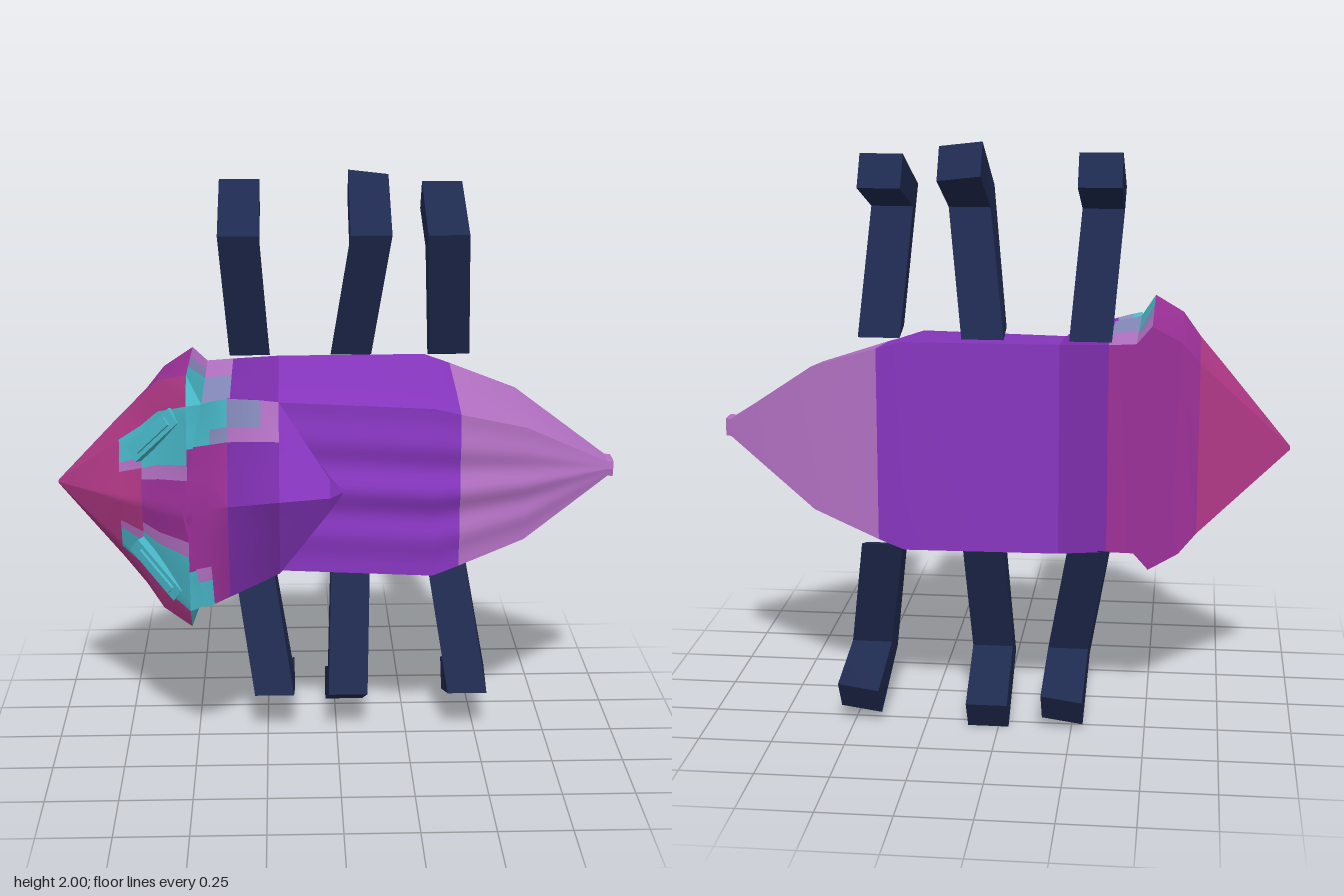
import * as THREE from 'three';
import { toCreasedNormals } from 'three/addons/utils/BufferGeometryUtils.js';

const mat = (name, color) => {
  const m = new THREE.MeshStandardMaterial({ color });
  m.name = name;
  return m;
};
const V = (x, y, z) => new THREE.Vector3(x, y, z);

// Closed skin through rings of equal point count; pick(segment, strip) gives the material.
function loft(name, rings, pick, crease) {
  const byMat = new Map();
  const add = (m, ...p) => {
    if (!byMat.has(m)) byMat.set(m, []);
    byMat.get(m).push(p);
  };
  const n = rings[0].length, last = rings.length - 1;
  for (let i = 0; i < last; i++) {
    for (let j = 0; j < n; j++) {
      const k = (j + 1) % n, m = pick(i, j);
      const a = rings[i][j], b = rings[i][k], c = rings[i + 1][k], d = rings[i + 1][j];
      add(m, a, b, c);
      add(m, a, c, d);
    }
  }
  // End caps
  for (const [r, i, flip] of [[rings[0], 0, true], [rings[last], last - 1, false]]) {
    const mid = r.reduce((s, p) => s.add(p), V(0, 0, 0)).divideScalar(n);
    for (let j = 0; j < n; j++) {
      const p = r[j], q = r[(j + 1) % n];
      if (flip) add(pick(i, 0), mid, q, p);
      else add(pick(i, 0), mid, p, q);
    }
  }
  // Keep faces pointing outward whichever way the rings run
  let volume = 0;
  for (const list of byMat.values()) {
    for (const [a, b, c] of list) volume += a.dot(b.clone().cross(c));
  }
  const pos = [], geo = new THREE.BufferGeometry(), mats = [...byMat.keys()];
  mats.forEach((m, index) => {
    const start = pos.length / 3;
    for (const [a, b, c] of byMat.get(m)) {
      for (const p of volume < 0 ? [a, c, b] : [a, b, c]) pos.push(p.x, p.y, p.z);
    }
    geo.addGroup(start, pos.length / 3 - start, index);
  });
  geo.setAttribute('position', new THREE.Float32BufferAttribute(pos, 3));
  const mesh = new THREE.Mesh(toCreasedNormals(geo, crease), mats);
  mesh.name = name;
  return mesh;
}

export function createModel() {
  const magenta = mat('magenta', 0xb13886), plum = mat('plum', 0x9c3098);
  const darkViolet = mat('dark violet', 0x7c2eac), violet = mat('violet', 0x8836c0);
  const mauve = mat('mauve', 0xb471c4), slate = mat('slate lavender', 0x858abb);
  const cyan = mat('cyan', 0x48b8c8), navy = mat('navy', 0x1f2a50);

  const model = new THREE.Group();
  model.name = 'beetle';

  // Body: x, centre y, belly (half width, z), flank (half width, z), back edge (half width, z), spine z, ripple
  const stations = [
    [-0.97, 0.955, 0.005, -0.055, 0.006, -0.05, 0.005, -0.045, -0.042, 0],
    [-0.74, 0.965, 0.22, -0.13, 0.255, 0.05, 0.19, 0.12, 0.18, 0],
    [-0.66, 0.968, 0.295, -0.155, 0.335, 0.11, 0.25, 0.17, 0.238, 0],
    [-0.60, 0.97, 0.365, -0.175, 0.405, 0.17, 0.31, 0.22, 0.30, 0],
    [-0.50, 0.975, 0.42, -0.205, 0.44, 0.27, 0.355, 0.345, 0.37, 0.004],
    [-0.45, 0.98, 0.36, -0.23, 0.355, 0.10, 0.35, 0.32, 0.345, 0.004],
    [-0.36, 0.985, 0.355, -0.255, 0.35, 0.05, 0.34, 0.235, 0.28, 0.005],
    [-0.20, 0.985, 0.358, -0.28, 0.33, 0, 0.30, 0.14, 0.16, 0.008],
    [0.32, 0.985, 0.358, -0.29, 0.325, 0, 0.295, 0.22, 0.23, 0.012],
    [0.41, 0.985, 0.33, -0.27, 0.30, 0, 0.268, 0.198, 0.21, 0.011],
    [0.64, 0.987, 0.25, -0.215, 0.225, -0.02, 0.20, 0.13, 0.14, 0.008],
    [0.95, 0.99, 0.03, -0.11, 0.028, -0.06, 0.026, -0.025, -0.02, 0],
    [0.97, 0.99, 0.03, -0.10, 0.03, -0.06, 0.028, -0.03, -0.025, 0],
  ];
  // Positions across the back, from one edge to the other
  const half = [1, 0.9, 0.8, 0.7, 0.6, 0.525, 0.45, 0.375, 0.3, 0.225, 0.15, 0.075];
  const ts = [...half, 0, ...half.map(t => -t).reverse()];
  const bodyRings = stations.map(([x, y, hB, zB, hS, zS, hT, zT, zC, w]) => {
    const side = (s, f) => V(x, y + s * (hB + (hS - hB) * f), zB + (zS - zB) * f);
    return [
      side(-1, 0), side(1, 0), side(1, 0.36), side(1, 0.7), side(1, 1),
      ...ts.map(t => V(x, y + hT * t,
        zC + (zT - zC) * Math.abs(t) + w * Math.cos(t * Math.PI * 3.4) * (1 - t * t))),
      side(-1, 1), side(-1, 0.7), side(-1, 0.36),
    ];
  });
  const strips = ['belly', 'sideA', 'sideB', 'sideC', 'bevel',
    ...ts.slice(1).map((t, i) => Math.abs(t + ts[i]) / 2),
    'bevel', 'sideC', 'sideB', 'sideA'];
  const bands = [magenta, magenta, plum, plum, plum, plum, darkViolet, violet, violet, mauve, mauve, mauve];
  const rim = { sideA: mauve, sideB: slate, sideC: cyan, bevel: cyan };
  const shoulder = { sideA: mauve, sideB: mauve, sideC: slate, bevel: slate };
  const bodyColour = (i, j) => {
    const strip = strips[j];
    // Eye patches with a pale border
    if (i >= 1 && i <= 3) {
      const edge = i === 1 ? 0.6 : 0.45;
      if (strip > edge) return cyan;
      if (strip > edge - 0.15) return mauve;
      if (strip === 'bevel') return magenta;
    }
    // Rear face of the collar and the upper shoulder behind it
    if (i === 4) return rim[strip] || (strip > 0.6 ? cyan : plum);
    if (i === 5 && j < 5) return shoulder[strip] || plum;
    return bands[i];
  };
  model.add(loft('body', bodyRings, bodyColour, 0.55));

  // Neck shield: x at the spine, x at the edge, half width, spine z, edge z, underside z
  const vs = [1, 0.74, 0.6, 0.3, 0, -0.3, -0.6, -0.74, -1];
  const shieldRings = [
    [-0.52, -0.45, 0.353, 0.375, 0.345, 0.20],
    [-0.44, -0.42, 0.352, 0.359, 0.314, 0.18],
    [-0.37, -0.37, 0.348, 0.343, 0.262, 0.12],
    [-0.26, -0.26, 0.322, 0.317, 0.19, 0.11],
    [-0.20, -0.20, 0.305, 0.302, 0.155, 0.10],
    [-0.03, -0.03, 0.055, 0.262, 0.235, 0.15],
    [0.015, 0.015, 0.004, 0.20, 0.198, 0.16],
  ].map(([xc, xe, h, zc, ze, zu]) => {
    const top = vs.map(v => V(xc + (xe - xc) * Math.abs(v), 0.985 + h * v, zc + (ze - zc) * Math.abs(v)));
    return [...top, V(xe, 0.985 - h * 0.9, zu), V(xe, 0.985 + h * 0.9, zu)];
  });
  const shieldBands = [plum, plum, darkViolet, darkViolet, violet, violet];
  // Pale patches running back from the eyes, longer on the upper side
  const shieldPatches = {
    0: [cyan, cyan, slate, mauve],
    1: [cyan, slate, mauve, mauve],
    6: [mauve],
    7: [cyan],
    10: [cyan, slate],
  };
  model.add(loft('neckShield', shieldRings,
    (i, j) => shieldPatches[j]?.[i] || shieldBands[i], 0.35));

  // Eyes: raised bars lying along the slanted cheeks
  for (const s of [1, -1]) {
    const along = V(0.16, 0.17 * s, 0.09).normalize();
    const out = V(-0.45, 0.25 * s, 0.85);
    out.addScaledVector(along, -out.dot(along)).normalize();
    const across = out.clone().cross(along);
    const eye = new THREE.Group();
    eye.name = s > 0 ? 'upperEye' : 'lowerEye';
    for (const [len, wid, depth] of [[0.23, 0.06, 0.03], [0.17, 0.03, 0.05]]) {
      const bar = new THREE.Mesh(new THREE.BoxGeometry(len, wid, depth), cyan);
      bar.name = 'eyeBar';
      eye.add(bar);
    }
    eye.quaternion.setFromRotationMatrix(new THREE.Matrix4().makeBasis(along, across, out));
    eye.position.set(-0.61, 0.973 + 0.235 * s, 0.25);
    model.add(eye);
  }

  // Legs: bent bars; x at hip, knee and foot, height shift and sideways tilt of the foot
  const legs = [
    ['upperFrontLeg', 1, -0.30, -0.33, -0.33, -0.015, 0],
    ['upperMiddleLeg', 1, 0.055, 0.115, 0.118, 0.008, -0.008],
    ['upperRearLeg', 1, 0.40, 0.375, 0.375, -0.025, 0],
    ['lowerFrontLeg', -1, -0.30, -0.225, -0.22, -0.03, -0.01],
    ['lowerMiddleLeg', -1, 0.055, 0.04, 0.035, 0, 0],
    ['lowerRearLeg', -1, 0.40, 0.47, 0.475, -0.045, -0.01],
  ];
  for (const [name, s, hip, knee, foot, lift, tilt] of legs) {
    const ring = (x, yo, zo, yi, zi, slope = 0) => {
      const p = (d, y, z) => V(x + 0.07 * d, 0.992 + s * (y + slope * d - 0.992), z);
      return [p(-1, yo, zo), p(1, yo, zo), p(1, yi, zi), p(-1, yi, zi)];
    };
    model.add(loft(name, [
      ring(hip, 1.375, -0.165, 1.35, -0.26),
      ring(knee, 1.825, 0.02, 1.765, -0.1),
      ring(foot, 1.984 + lift, -0.295, 1.88 + lift, -0.36, tilt),
    ], () => navy, 0.3));
  }
  return model;
}
